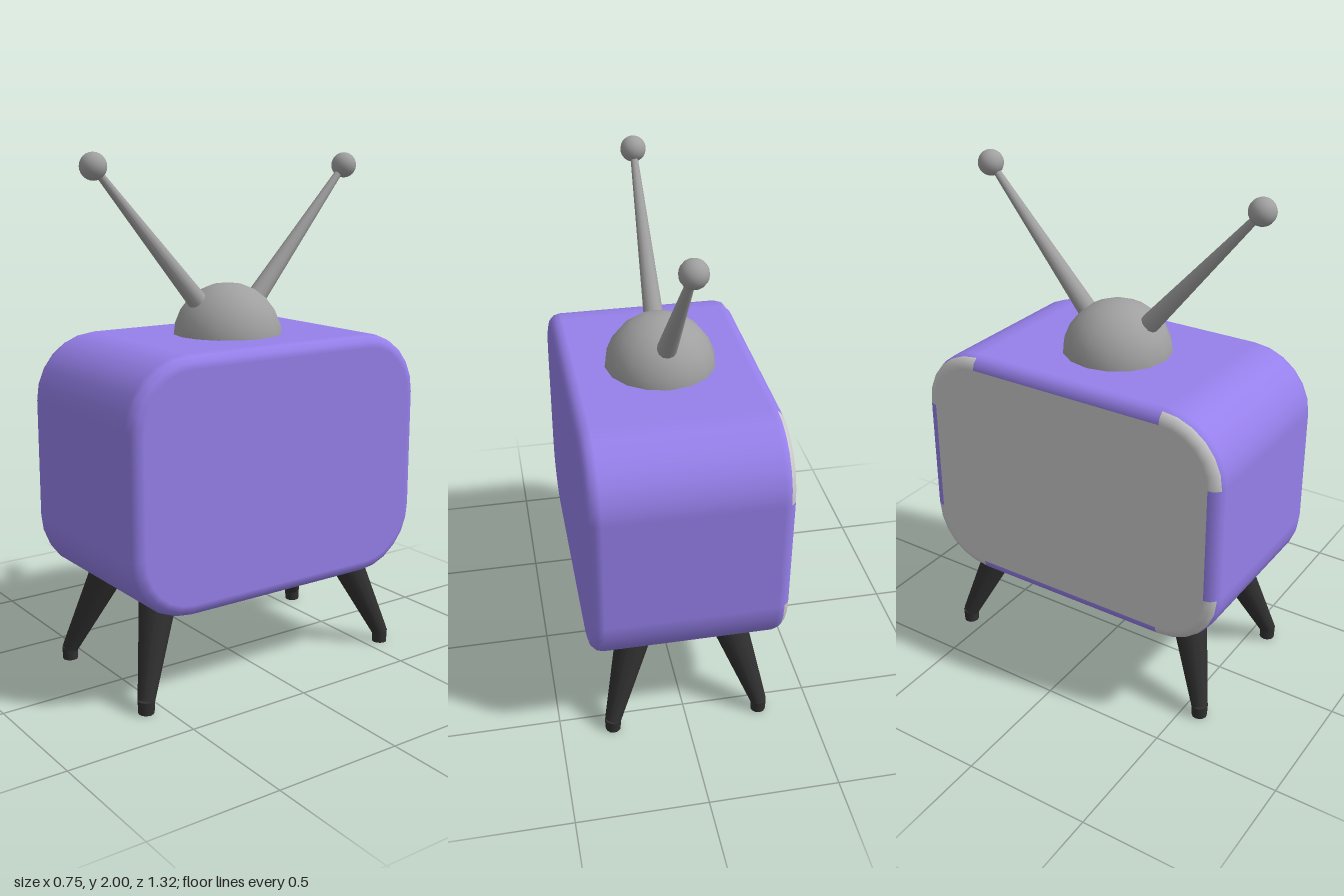
import * as THREE from 'three';

const mat = (color) => new THREE.MeshStandardMaterial({ color });
const purple = mat(0x9680eb), screenGrey = mat(0xcccccc), metal = mat(0xa0a0a0), dark = mat(0x303030);

// Cabinet dimensions
const HALF_X = 0.375, HALF_Y = 0.48, HALF_Z = 0.658, CENTRE_Y = 0.835;
const CORNER = 0.25, BEVEL = 0.05, CORNER_STEPS = 6, BEVEL_STEPS = 3;
const RING = 4 * (CORNER_STEPS + 1);

// Rounded-rectangle cross-sections along x, collapsed to a point at both ends
const rings = [];
for (let k = -BEVEL_STEPS; k <= BEVEL_STEPS; k++) {
  const a = (Math.abs(k) / BEVEL_STEPS) * Math.PI / 2;
  const side = Math.sign(k);
  const bevelled = (s) => ({
    x: s * (HALF_X - BEVEL * (1 - Math.sin(a))), inset: BEVEL * (1 - Math.cos(a)),
    nx: s * Math.sin(a), nr: Math.cos(a), scale: 1,
  });
  if (side === 0) rings.push(bevelled(-1), bevelled(1));
  else rings.push(bevelled(side));
}
rings.unshift({ ...rings[0], scale: 0 });
rings.push({ ...rings[rings.length - 1], scale: 0 });

// One vertex of the cabinet skin, with its exact normal
function skinVertex(i, ring) {
  const corner = Math.floor((i % RING) / (CORNER_STEPS + 1));
  const t = (corner + ((i % RING) % (CORNER_STEPS + 1)) / CORNER_STEPS) * Math.PI / 2;
  const sz = corner === 0 || corner === 3 ? 1 : -1;
  const sy = corner < 2 ? 1 : -1;
  const r = CORNER - ring.inset;
  return {
    p: [ring.x,
      CENTRE_Y + ring.scale * (sy * (HALF_Y - CORNER) + r * Math.sin(t)),
      ring.scale * (sz * (HALF_Z - CORNER) + r * Math.cos(t))],
    n: [ring.nx, ring.nr * Math.sin(t), ring.nr * Math.cos(t)],
  };
}

// Skin made of the patches accepted by the test
function skinGeometry(accept) {
  const pos = [], nor = [];
  for (let j = 0; j < rings.length - 1; j++) {
    for (let i = 0; i < RING; i++) {
      if (!accept(i, j)) continue;
      const a = skinVertex(i, rings[j]), b = skinVertex(i, rings[j + 1]);
      const c = skinVertex(i + 1, rings[j + 1]), d = skinVertex(i + 1, rings[j]);
      for (const v of [a, b, c, a, c, d]) { pos.push(...v.p); nor.push(...v.n); }
    }
  }
  const g = new THREE.BufferGeometry();
  g.setAttribute('position', new THREE.Float32BufferAttribute(pos, 3));
  g.setAttribute('normal', new THREE.Float32BufferAttribute(nor, 3));
  return g;
}

function add(parent, name, geometry, material) {
  const mesh = new THREE.Mesh(geometry, material);
  mesh.name = name;
  parent.add(mesh);
  return mesh;
}

// Tapered rod between two points
function rod(parent, name, from, to, r0, r1, sides, material) {
  const a = new THREE.Vector3(...from), b = new THREE.Vector3(...to);
  const mesh = add(parent, name, new THREE.CylinderGeometry(r1, r0, a.distanceTo(b), sides), material);
  mesh.position.copy(a).add(b).multiplyScalar(0.5);
  mesh.quaternion.setFromUnitVectors(new THREE.Vector3(0, 1, 0), b.sub(a).normalize());
  return mesh;
}

export function createModel() {
  const model = new THREE.Group();
  model.name = 'television';

  // Screen: the -x face plus the outer bevel around its rounded corners
  const isScreen = (i, j) => j === 0 ||
    (j < BEVEL_STEPS && i % (CORNER_STEPS + 1) !== CORNER_STEPS);
  add(model, 'cabinet', skinGeometry((i, j) => !isScreen(i, j)), purple);
  add(model, 'screen', skinGeometry(isScreen), screenGrey);

  // Antenna dome, sunk into the cabinet top
  add(model, 'antennaDome', new THREE.SphereGeometry(0.215, 16, 12), metal).position.y = 1.295;

  for (const sz of [1, -1]) {
    // Antenna rod and tip
    const antenna = new THREE.Group();
    antenna.name = sz > 0 ? 'frontAntenna' : 'backAntenna';
    model.add(antenna);
    rod(antenna, 'antennaRod', [0, 1.39, sz * 0.09], [0, 1.95, sz * 0.575], 0.041, 0.013, 12, metal);
    add(antenna, 'antennaTip', new THREE.SphereGeometry(0.05, 16, 12), metal)
      .position.set(0, 1.95, sz * 0.575);

    // Splayed legs with short upright feet
    for (const sx of [1, -1]) {
      const leg = new THREE.Group();
      leg.name = (sz > 0 ? 'front' : 'back') + (sx > 0 ? 'Left' : 'Right') + 'Leg';
      model.add(leg);
      rod(leg, 'legShaft', [sx * 0.19, 0.37, sz * 0.452], [sx * 0.295, 0.045, sz * 0.57], 0.07, 0.032, 12, dark);
      add(leg, 'foot', new THREE.CylinderGeometry(0.032, 0.03, 0.05, 12), dark)
        .position.set(sx * 0.295, 0.025, sz * 0.57);
    }
  }
  return model;
}
